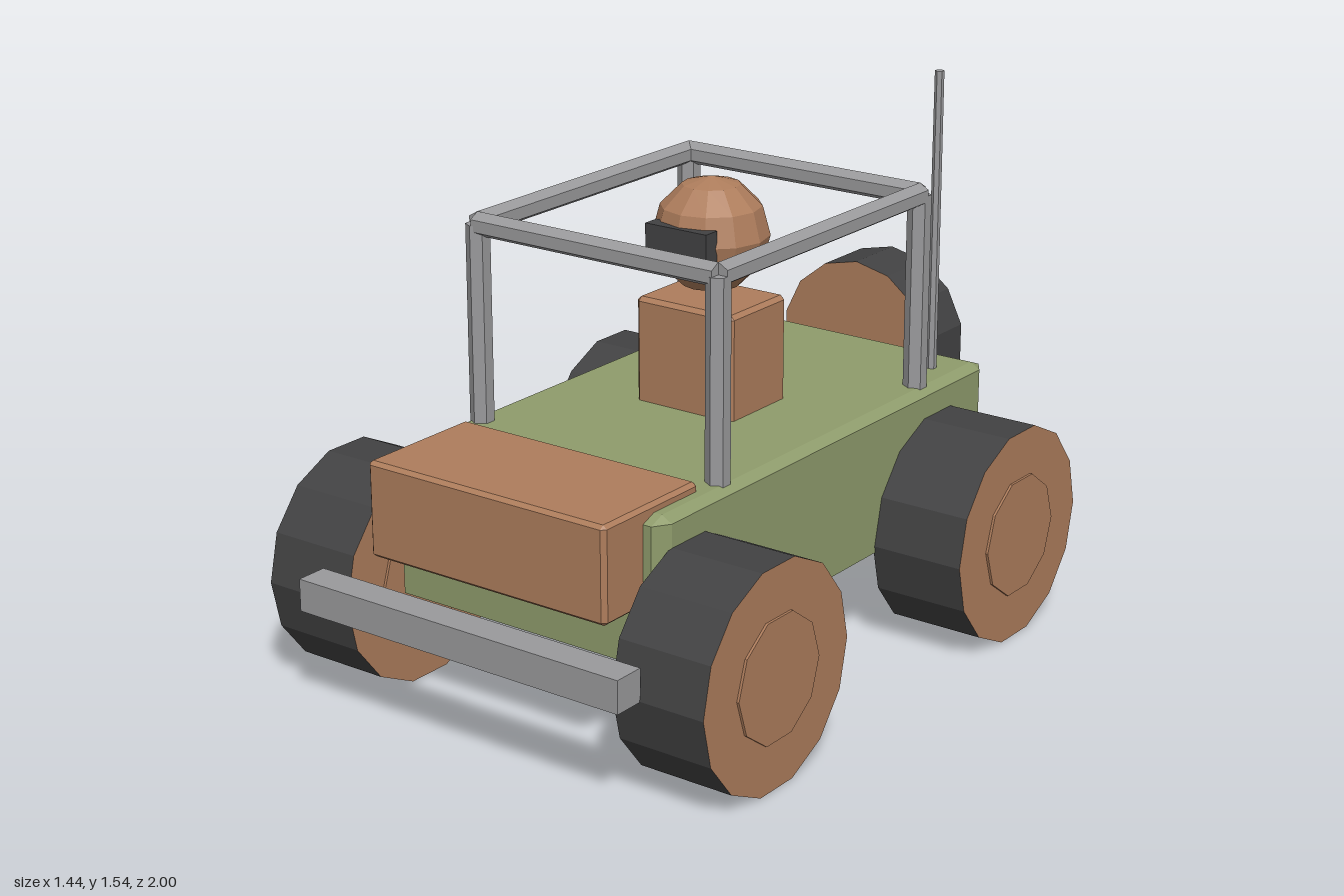
import * as THREE from 'three';
import { ConvexGeometry } from 'three/addons/geometries/ConvexGeometry.js';

const paint = (name, color) => {
  const m = new THREE.MeshStandardMaterial({ color, flatShading: true });
  m.name = name;
  return m;
};

// box centred on the origin with chamfered edges; bevel given per axis
function chamferBox(w, h, d, bx, by, bz) {
  const x = w / 2, y = h / 2, z = d / 2, pts = [];
  for (const i of [-1, 1]) for (const j of [-1, 1]) for (const k of [-1, 1]) {
    pts.push(
      new THREE.Vector3(i * x, j * (y - by), k * (z - bz)),
      new THREE.Vector3(i * (x - bx), j * y, k * (z - bz)),
      new THREE.Vector3(i * (x - bx), j * (y - by), k * z));
  }
  return new ConvexGeometry(pts);
}

export function createModel() {
  const green = paint('bodyGreen', 0x8f9c6c);
  const brown = paint('tanBrown', 0xae7d5c);
  const dark = paint('tyreDark', 0x424243);
  const metal = paint('metalGrey', 0x9a9a9c);

  const model = new THREE.Group();
  model.name = 'buggy';
  const add = (name, geometry, material, x, y, z, parent = model) => {
    const mesh = new THREE.Mesh(geometry, material);
    mesh.name = name;
    mesh.position.set(x, y, z);
    parent.add(mesh);
    return mesh;
  };

  // hull, bonnet and bumper
  add('body', chamferBox(0.88, 0.42, 1.545, 0.03, 0.018, 0.045), green, 0, 0.475, -0.052);
  add('bonnet', chamferBox(0.77, 0.265, 0.385, 0.012, 0.01, 0.012), brown, 0, 0.577, 0.682);
  add('bumper', new THREE.BoxGeometry(1.04, 0.09, 0.09), metal, 0, 0.345, 0.955);

  // wheels: dark tread with brown side walls, and a hub through each
  const tyreGeo = new THREE.CylinderGeometry(0.309, 0.309, 0.276, 14).rotateZ(Math.PI / 2);
  const hubGeo = new THREE.CylinderGeometry(0.173, 0.173, 0.29, 10).rotateZ(Math.PI / 2);
  for (const side of [-1, 1]) for (const [end, z] of [['front', 0.605], ['rear', -0.558]]) {
    const wheel = new THREE.Group();
    wheel.name = end + (side > 0 ? 'Left' : 'Right') + 'Wheel';
    wheel.position.set(side * 0.573, 0.302, z);
    model.add(wheel);
    add('tyre', tyreGeo, [dark, brown, brown], 0, 0, 0, wheel);
    add('hub', hubGeo, brown, 0, 0, 0, wheel);
  }

  // spare wheel on the tail
  const spareGeo = new THREE.CylinderGeometry(0.25, 0.25, 0.193, 14).rotateX(Math.PI / 2);
  add('spareWheel', spareGeo, [dark, brown, brown], 0, 0.652, -0.9035);

  // roll cage of six-sided bars
  const cage = new THREE.Group();
  cage.name = 'rollCage';
  model.add(cage);
  const zFront = 0.414, zBack = -0.516, xs = 0.389, top = 1.232, r = 0.033;
  const bar = (length) => new THREE.CylinderGeometry(r, r, length, 6);
  for (const z of [zFront, zBack]) {
    for (const side of [-1, 1]) add('cagePost', bar(0.6), metal, side * xs, top - 0.3, z, cage);
    add('cageCrossBar', bar(2 * xs).rotateY(Math.PI / 2).rotateZ(Math.PI / 2), metal, 0, top, z, cage);
  }
  for (const side of [-1, 1]) {
    add('cageSideBar', bar(zFront - zBack).rotateX(Math.PI / 2), metal,
      side * xs, top, (zFront + zBack) / 2, cage);
  }

  // antenna
  add('antenna', new THREE.CylinderGeometry(0.013, 0.015, 0.88, 6), metal, 0.346, 1.1, -0.672);

  // driver
  const driver = new THREE.Group();
  driver.name = 'driver';
  model.add(driver);
  add('torso', chamferBox(0.32, 0.36, 0.255, 0.012, 0.012, 0.012), brown, 0, 0.8, -0.091, driver);
  add('head', new THREE.SphereGeometry(0.16, 12, 6), brown, 0, 1.155, -0.091, driver);
  add('visor', new THREE.BoxGeometry(0.2, 0.093, 0.05), dark, 0, 1.157, 0.045, driver);

  return model;
}
